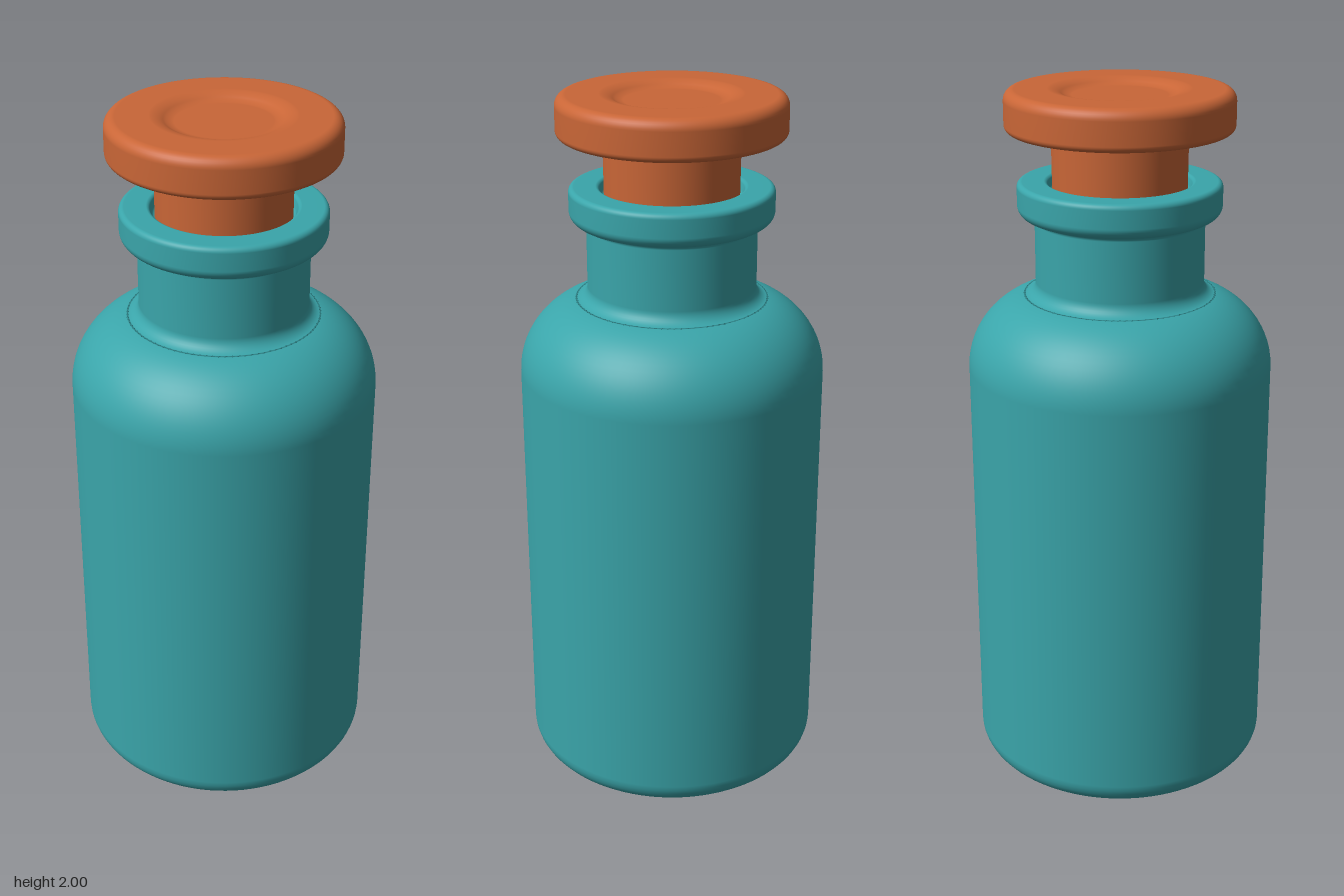
import * as THREE from 'three';

const teal = new THREE.MeshStandardMaterial({ color: 0x3aa5aa });
teal.name = 'tealGlass';
const orange = new THREE.MeshStandardMaterial({ color: 0xc96637 });
orange.name = 'orangeStopper';

// Turn a profile of [radius, height, cornerRounding] into a smooth lathe mesh.
function turned(name, corners, material) {
  const pts = corners.map(([x, y]) => new THREE.Vector2(x, y));
  const profile = [pts[0]];
  for (let i = 1; i < pts.length - 1; i++) {
    const p = pts[i], r = corners[i][2];
    const toward = (q, d) => p.clone().add(q.clone().sub(p).setLength(d));
    const a = toward(pts[i - 1], r), b = toward(pts[i + 1], r);
    const curve = new THREE.CubicBezierCurve(a, a.clone().lerp(p, 0.55), b.clone().lerp(p, 0.55), b);
    profile.push(...curve.getPoints(r > 0.1 ? 16 : 8));
  }
  profile.push(pts[pts.length - 1]);
  const mesh = new THREE.Mesh(new THREE.LatheGeometry(profile, 96), material);
  mesh.name = name;
  return mesh;
}

export function createModel() {
  const model = new THREE.Group();
  model.name = 'stopperedBottle';

  // Bottle: dimpled base, straight wall, round shoulder, neck and flared lip
  model.add(turned('bottle', [
    [0, 0.02],
    [0.12, 0.02, 0.015],
    [0.16, 0, 0.015],
    [0.428, 0, 0.075],
    [0.428, 1.425, 0.2],
    [0.235, 1.435, 0.035],
    [0.235, 1.65, 0.01],
    [0.282, 1.66, 0.025],
    [0.282, 1.75, 0.015],
    [0.2, 1.75, 0.008],
    [0.19, 1.72, 0.008],
    [0, 1.72],
  ], teal));

  // Stopper: plug and wide cap with a hollow underside and dished top
  model.add(turned('stopper', [
    [0, 1.7],
    [0.185, 1.7, 0.005],
    [0.187, 1.9, 0.008],
    [0.255, 1.9, 0.005],
    [0.265, 1.888, 0.005],
    [0.313, 1.888, 0.018],
    [0.313, 2, 0.03],
    [0.175, 2, 0.02],
    [0.145, 1.982, 0.015],
    [0, 1.982],
  ], orange));

  return model;
}
